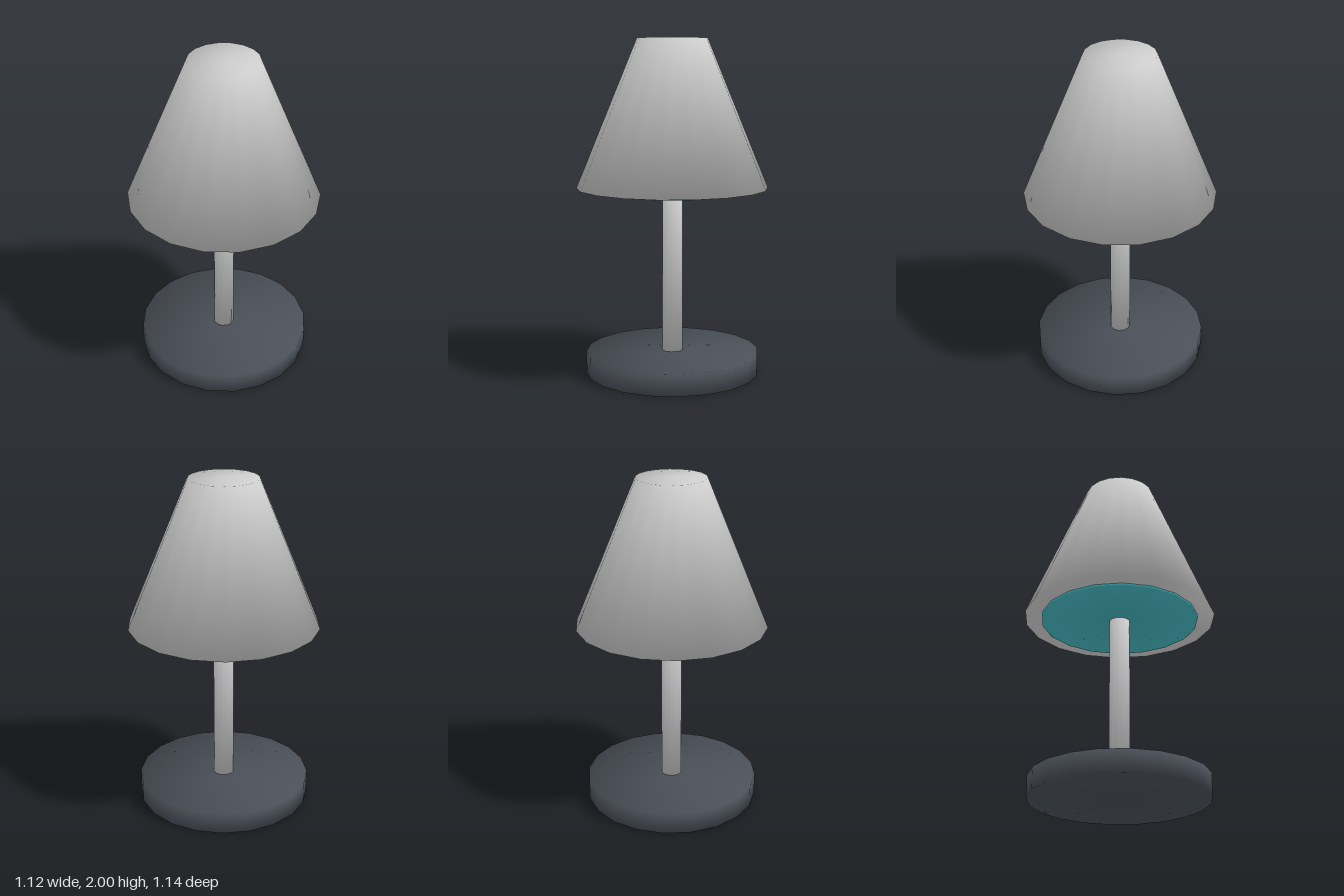
import * as THREE from 'three';

const grey = new THREE.MeshStandardMaterial({ color: 0xcccccc });
const slate = new THREE.MeshStandardMaterial({ color: 0x4a4f58 });
const teal = new THREE.MeshStandardMaterial({ color: 0x44b8c0 });

// Closed frustum standing from y0 to y1, shaded smoothly across its rims
function softFrustum(name, rBottom, rTop, y0, y1, sides, material) {
  const height = y1 - y0;
  const geometry = new THREE.CylinderGeometry(rTop, rBottom, height, sides);
  const pos = geometry.attributes.position;
  const normal = geometry.attributes.normal;
  const slope = new THREE.Vector2(height, rBottom - rTop).normalize();
  const n = new THREE.Vector3();

  for (let i = 0; i < pos.count; i++) {
    const x = pos.getX(i), z = pos.getZ(i);
    const r = Math.hypot(x, z);
    // each rim normal is the mean of the wall and the cap
    const rim = new THREE.Vector2(slope.x, slope.y + Math.sign(pos.getY(i))).normalize();
    if (r < 1e-5) n.set(0, Math.sign(rim.y), 0);
    else n.set(x / r * rim.x, rim.y, z / r * rim.x);
    normal.setXYZ(i, n.x, n.y, n.z);
  }

  const mesh = new THREE.Mesh(geometry, material);
  mesh.name = name;
  mesh.position.y = (y0 + y1) / 2;
  return mesh;
}

export function createModel() {
  const lamp = new THREE.Group();
  lamp.name = 'tableLamp';
  lamp.add(
    softFrustum('base', 0.52, 0.52, 0, 0.13, 20, slate),
    softFrustum('pole', 0.062, 0.062, 0.1, 1.16, 12, grey),
    softFrustum('shade', 0.57, 0.207, 1.12, 2, 18, grey),
    // light panel just proud of the underside of the shade
    softFrustum('lightPanel', 0.47, 0.47, 1.105, 1.13, 18, teal),
  );
  return lamp;
}
